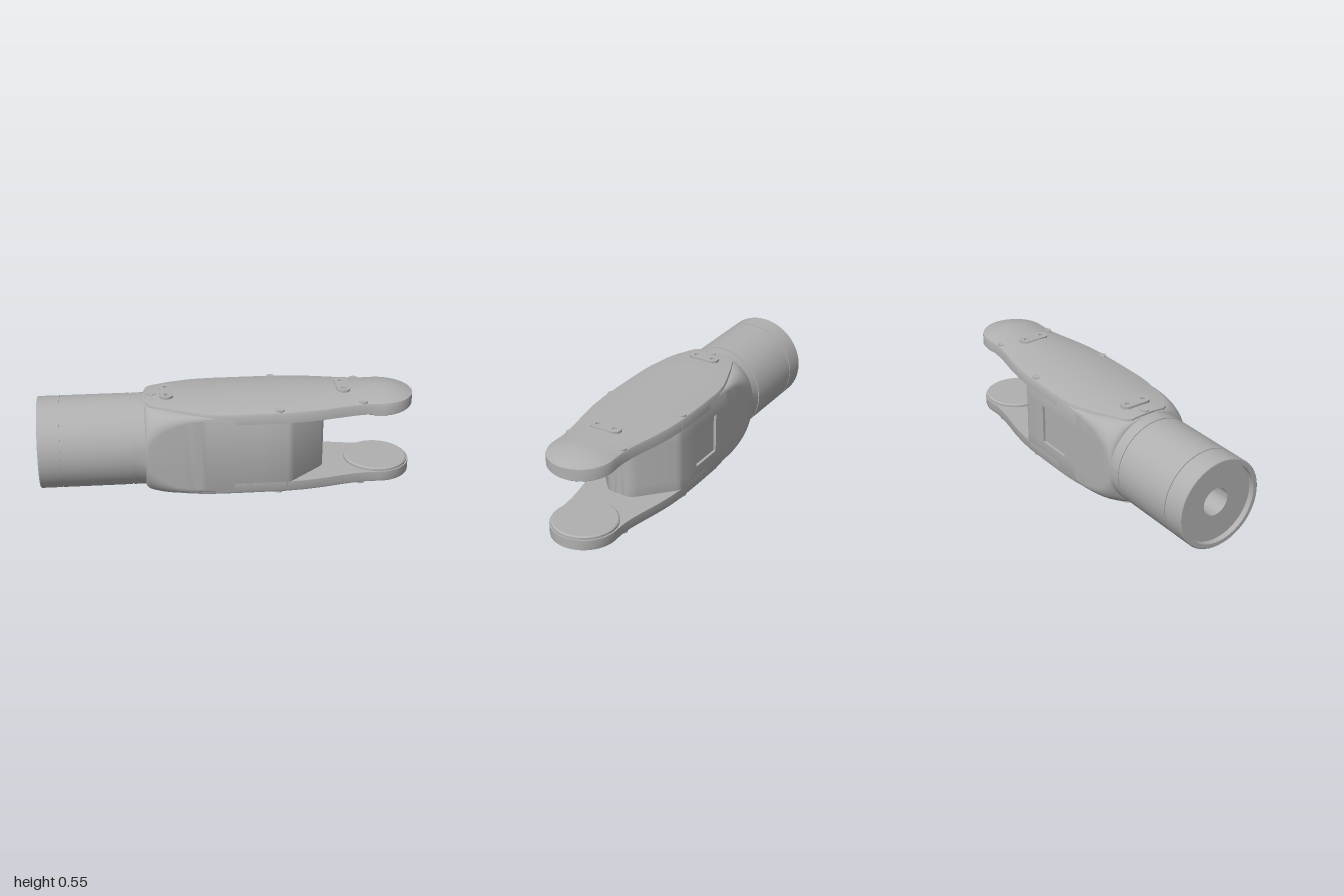
import * as THREE from 'three';
import { toCreasedNormals } from 'three/addons/utils/BufferGeometryUtils.js';

const MID = 0.2725; // height of the long axis

// Skin closed [y, z] rings placed along x, with flat end caps
function loft(sections) {
  const pos = [], idx = [], n = sections[0].ring.length;
  for (const { x, ring } of sections) for (const [y, z] of ring) pos.push(x, y, z);
  for (let i = 0; i < sections.length - 1; i++) {
    for (let j = 0; j < n; j++) {
      const k = (j + 1) % n;
      const a = i * n + j, b = i * n + k, c = b + n, d = a + n;
      idx.push(a, b, c, a, c, d);
    }
  }
  const last = sections.length - 1;
  const first = pos.length / 3;
  pos.push(sections[0].x, 0, 0, sections[last].x, sections[last].ring[0][0], 0);
  for (let j = 0; j < n; j++) {
    const k = (j + 1) % n;
    idx.push(first, k, j, first + 1, last * n + j, last * n + k);
  }
  const g = new THREE.BufferGeometry();
  g.setAttribute('position', new THREE.Float32BufferAttribute(pos, 3));
  g.setIndex(idx);
  return toCreasedNormals(g, 0.5);
}

// Rounded rectangle ring that starts as a circle and squares up along x;
// dent pushes a rectangular window into the -z side
function bodySection(x, hz, dent = 0) {
  const u = THREE.MathUtils.clamp((x + 0.44) / 0.32, 0, 1);
  const hy = 0.245 - 0.025 * u;
  const flat = 0.2 * Math.sqrt(1 - (1 - u) ** 2);
  const r = Math.min(hy - flat, hz);
  const ring = [];
  const corner = (sy, sz, start) => {
    for (let i = 0; i <= 10; i++) {
      const a = (start + i / 10) * Math.PI / 2;
      ring.push([sy * (hy - r) + r * Math.cos(a), sz * (hz - r) + r * Math.sin(a)]);
    }
  };
  corner(1, 1, 0);
  corner(-1, 1, 1);
  corner(-1, -1, 2);
  const k = Math.min(0.11, hy - r);
  ring.push([-k, -hz], [-k, -hz + dent], [k, -hz + dent], [k, -hz]);
  corner(1, -1, 3);
  return { x, ring };
}

function bodyGeometry() {
  const s = [bodySection(-0.505, 0.245)];
  for (let i = 0; i <= 16; i++) s.push(bodySection(-0.44 + 0.32 * (i / 16) ** 1.6, 0.245 + 0.002 * i / 16));
  const W = 0.247, D = 0.015;
  s.push(bodySection(-0.035, W), bodySection(-0.035, W, D), bodySection(0.165, W, D), bodySection(0.165, W));
  for (const [x, hz] of [[0.305, W], [0.322, 0.242], [0.34, 0.229], [0.49, 0.096], [0.508, 0.078], [0.518, 0.058], [0.52, 0.04]]) {
    s.push(bodySection(x, hz));
  }
  return loft(s);
}

// Domed cover that runs on into a round-tipped fork arm
function shellGeometry() {
  const plan = [[-0.43, 0.1], [-0.415, 0.125], [-0.39, 0.142], [-0.3, 0.18], [-0.2, 0.216], [-0.13, 0.236],
    [-0.05, 0.246], [0.1, 0.248], [0.3, 0.247], [0.4, 0.238], [0.5, 0.222], [0.6, 0.2], [0.68, 0.185],
    [0.75, 0.178], [0.8, 0.179]];
  for (let i = 0; i <= 14; i++) {
    const a = (i / 14) * Math.PI * 0.495;
    plan.push([0.82 + 0.18 * Math.sin(a), 0.18 * Math.cos(a)]);
  }
  return loft(plan.map(([x, w]) => {
    const tip = Math.max(0, (x - 0.82) / 0.18);
    const tail = Math.max(0, (-0.15 - x) / 0.28);
    const rise = x < 0 ? 0.04 * (w / 0.248) ** 2 : 0.04 * (1 - tip * tip);
    const edge = (x < 0 ? 0.2675 - 0.012 * tail * tail : 0.2275 + 0.04 * (1 - tip * tip)) - rise;
    const ring = [[edge - 0.01, -w]];
    for (let i = -8; i <= 8; i++) {
      const t = 0.975 * i / 8;
      ring.push([edge + rise * (1 - t * t), t * w]);
    }
    ring.push([edge - 0.01, w], [0.172, w], [0.172, -w]);
    return { x, ring };
  }));
}

function lathe(points, segments = 64) {
  return toCreasedNormals(new THREE.LatheGeometry(points.map(p => new THREE.Vector2(...p)), segments), 0.5);
}

// Oblong plate with two screw holes, lying flat with its length along z
function plateGeometry() {
  const r = 0.036, l = 0.05;
  const shape = new THREE.Shape();
  shape.absarc(0, l, r, 0, Math.PI, false);
  shape.absarc(0, -l, r, Math.PI, Math.PI * 2, false);
  shape.closePath();
  for (const y of [-0.05, 0.05]) {
    const hole = new THREE.Path();
    hole.absarc(0, y, 0.012, 0, Math.PI * 2, true);
    shape.holes.push(hole);
  }
  const g = new THREE.ExtrudeGeometry(shape, { depth: 0.025, bevelEnabled: false, curveSegments: 16 });
  return toCreasedNormals(g.rotateX(-Math.PI / 2), 0.5);
}

export function createModel() {
  const grey = new THREE.MeshStandardMaterial({ color: 0xb0b0b0 });
  grey.name = 'metal grey';
  const model = new THREE.Group();
  model.name = 'forkedArmLink';

  const add = (parent, name, geometry, x = 0, y = 0, z = 0) => {
    const m = new THREE.Mesh(geometry, grey);
    m.name = name;
    m.position.set(x, y, z);
    parent.add(m);
    return m;
  };

  // Round barrel with two seams, a recessed end face and a bore
  const barrel = lathe([
    [0, -0.8], [0.075, -0.8], [0.075, -0.97], [0.218, -0.97], [0.218, -1], [0.24, -1], [0.245, -0.995],
    [0.245, -0.883], [0.24, -0.883], [0.24, -0.877], [0.245, -0.877],
    [0.245, -0.513], [0.24, -0.513], [0.24, -0.48], [0, -0.48]
  ], 96).rotateZ(-Math.PI / 2);
  add(model, 'barrel', barrel, 0, MID);

  // Body blending from the barrel to a flat-sided block
  add(model, 'body', bodyGeometry(), 0, MID);

  // Upper and lower covers with their arms and fittings
  const shell = shellGeometry();
  const plate = plateGeometry();
  const screw = new THREE.CylinderGeometry(0.024, 0.024, 0.03, 24);
  const solidPad = lathe([[0, 0.155], [0.164, 0.155], [0.172, 0.161], [0.172, 0.185]].map(([r, y]) => [r, y]));
  const ringPad = lathe([[0, 0.1705], [0.092, 0.1705], [0.092, 0.163], [0.115, 0.163], [0.115, 0.155],
    [0.164, 0.155], [0.172, 0.161], [0.172, 0.185]]);
  for (const side of ['upper', 'lower']) {
    const half = new THREE.Group();
    half.name = side + 'Arm';
    half.position.y = MID;
    if (side === 'lower') half.rotation.x = Math.PI;
    model.add(half);
    add(half, side + 'Cover', shell);
    add(half, side + 'BearingPad', side === 'upper' ? ringPad : solidPad, 0.82);
    add(half, side + 'RearPlate', plate, -0.32, 0.2475);
    add(half, side + 'FrontPlate', plate, 0.62, 0.2475);
    add(half, side + 'TailScrew', screw, -0.4, 0.247);
    for (const s of [-1, 1]) {
      add(half, side + 'MiddleScrew', screw, 0.26, 0.225, s * 0.215);
      add(half, side + 'TipScrew', screw, 0.71, 0.225, s * 0.152);
    }
  }
  return model;
}
